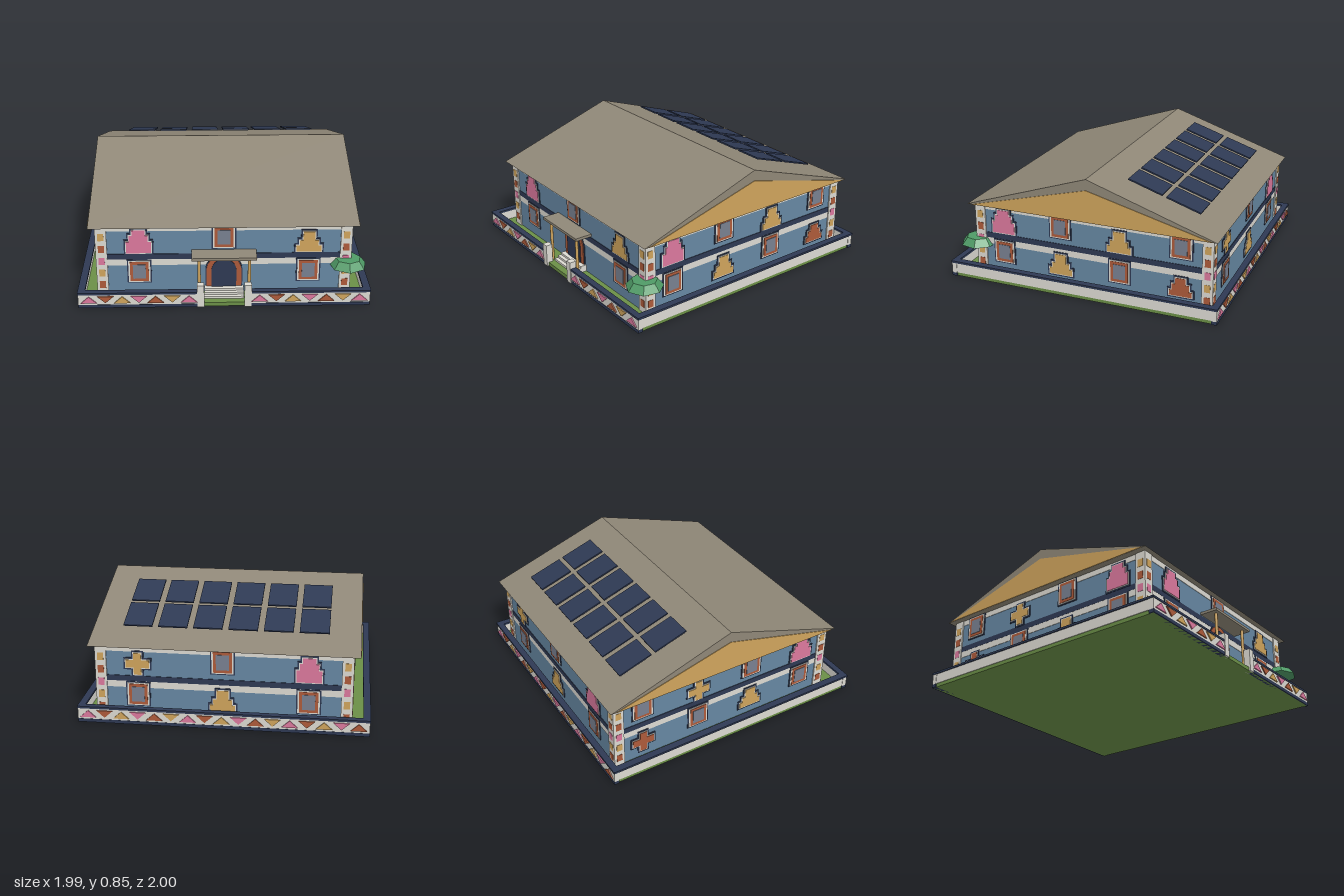
import * as THREE from 'three';

const mat = (name, color) => {
  const m = new THREE.MeshStandardMaterial({ color });
  m.name = name;
  return m;
};

export function createModel() {
  const roofTan = mat('roofTan', 0x8f8777), blue = mat('wallBlue', 0x6687a2), white = mat('trimWhite', 0xdcdad2);
  const pink = mat('pink', 0xdb789d), amber = mat('amber', 0xcfa45c), rust = mat('terracotta', 0xad5a3a);
  const navy = mat('navy', 0x2e3953), grass = mat('grassGreen', 0x6b8f47), leaf = mat('leafGreen', 0x4f9a66);
  const glass = mat('glassGrey', 0x788090);

  const model = new THREE.Group();
  model.name = 'house';

  const add = (parent, name, geo, material, x = 0, y = 0, z = 0) => {
    const m = new THREE.Mesh(geo, material);
    m.name = name;
    m.position.set(x, y, z);
    parent.add(m);
    return m;
  };
  // box given by its min and max corners
  const box = (parent, name, material, x0, x1, y0, y1, z0, z1) =>
    add(parent, name, new THREE.BoxGeometry(x1 - x0, y1 - y0, z1 - z0), material,
      (x0 + x1) / 2, (y0 + y1) / 2, (z0 + z1) / 2);
  const extrude = (points, depth) =>
    new THREE.ExtrudeGeometry(new THREE.Shape(points.map(p => new THREE.Vector2(...p))), { depth, bevelEnabled: false });

  // ---- ground and boundary wall
  box(model, 'lawn', grass, -0.985, 0.985, 0, 0.028, -0.985, 0.985);
  const fence = new THREE.Group();
  fence.name = 'boundaryWall';
  model.add(fence);
  for (const s of [-1, 1]) {
    const a = s * 0.955, b = s * 0.99;
    box(fence, 'sideWall', white, Math.min(a, b), Math.max(a, b), 0.026, 0.1, -0.985, 0.985);
    box(fence, 'sideWallCap', navy, s * 0.972 - 0.025, s * 0.972 + 0.025, 0.1, 0.115, -0.993, 0.993);
  }
  // decorated wall run with alternating triangles, built facing +z
  const paintedWall = (parent, x0, x1, count) => {
    box(parent, 'wallRun', white, x0, x1, 0.024, 0.1, 0.955, 0.991);
    box(parent, 'wallFoot', navy, x0, x1, 0, 0.024, 0.955, 0.993);
    box(parent, 'wallCap', navy, x0, x1, 0.1, 0.115, 0.95, 0.995);
    const cycle = [pink, rust, amber];
    const first = x0 < -0.9 ? -0.92 : 0.24, last = x1 > 0.9 ? 0.92 : -0.24;
    for (let i = 0; i < count; i++) {
      const x = first + (last - first) * i / (count - 1);
      const tri = i % 2 ? [[0, 0.04], [0.055, 0.09], [-0.055, 0.09]] : [[-0.055, 0.038], [0.055, 0.038], [0, 0.088]];
      add(parent, 'wallTriangle', extrude(tri, 0.009), cycle[i % 3], x, 0, 0.99);
    }
  };
  const frontFence = new THREE.Group(), backFence = new THREE.Group();
  frontFence.name = 'frontFence';
  backFence.name = 'backFence';
  backFence.rotation.y = Math.PI;
  fence.add(frontFence, backFence);
  paintedWall(frontFence, -0.993, -0.18, 7);
  paintedWall(frontFence, 0.18, 0.993, 7);
  paintedWall(backFence, -0.993, 0.993, 17);
  for (const s of [-1, 1]) box(fence, 'gatePost', white, s * 0.161 - 0.024, s * 0.161 + 0.024, 0, 0.165, 0.95, 0.998);

  // ---- house body with surrounding bands
  const house = new THREE.Group();
  house.name = 'houseBody';
  house.position.z = -0.04;
  model.add(house);
  const HX = 0.865, HZ = 0.875;
  const around = (name, material, y0, y1, o) => box(house, name, material, -HX - o, HX + o, y0, y1, -HZ - o, HZ + o);
  around('walls', blue, 0.02, 0.545, 0);
  around('middleWhiteBand', white, 0.242, 0.288, 0.003);
  around('middleNavyBand', navy, 0.288, 0.328, 0.004);
  around('topWhiteBand', white, 0.502, 0.545, 0.003);

  // ---- corner pillars with coloured tiles
  const tileColours = [rust, amber, pink, rust, amber];
  for (const sx of [-1, 1]) for (const sz of [-1, 1]) {
    const cx = sx * (HX - 0.03), cz = sz * (HZ - 0.03);
    box(house, 'cornerPillar', white, cx - 0.039, cx + 0.039, 0.02, 0.545, cz - 0.039, cz + 0.039);
    tileColours.forEach((c, i) => {
      const y = 0.097 + i * 0.091;
      box(house, 'pillarTile', c, cx - 0.021, cx + 0.021, y - 0.027, y + 0.027, cz - 0.041, cz + 0.041);
      box(house, 'pillarTile', c, cx - 0.041, cx + 0.041, y - 0.027, y + 0.027, cz - 0.021, cz + 0.021);
    });
  }

  // ---- facade ornaments, built facing +z in each facade's own frame
  const layer = (parent, name, points, material, x, y, i) =>
    add(parent, name, extrude(points, 0.005), material, x, y, 0.002 + 0.003 * i);
  const rect = (w, h) => [[-w, -h], [w, -h], [w, h], [-w, h]];
  const windowAt = (parent, x, upper) => {
    const g = new THREE.Group();
    g.name = 'window';
    parent.add(g);
    const y = upper ? 0.455 : 0.197;
    layer(g, 'windowBorder', rect(0.084, 0.09), navy, x, y, 0);
    layer(g, 'windowSurround', rect(0.075, 0.082), white, x, y, 1);
    layer(g, 'windowFrame', rect(0.064, 0.074), rust, x, y, 2);
    layer(g, 'windowGlass', rect(0.044, 0.054), glass, x, y, 3);
  };
  // stepped silhouette from [halfWidth, top] tiers, grown outward by o
  const stepped = (tiers, o) => {
    const right = [[tiers[0][0] + o, -o]];
    tiers.forEach(([w, top], i) => {
      const next = tiers[i + 1];
      const y = next && next[0] > w ? top - o : top + o;
      right.push([w + o, y]);
      if (next) right.push([next[0] + o, y]);
    });
    return [...right, ...right.map(([x, y]) => [-x, y]).reverse()];
  };
  const TALL = [[0.085, 0.085], [0.064, 0.132], [0.044, 0.172]];
  const STEPS = [[0.085, 0.045], [0.064, 0.085], [0.04, 0.15]];
  const PYRAMID = [[0.08, 0.038], [0.06, 0.085], [0.036, 0.13]];
  const CROSS = [[0.026, 0.05], [0.08, 0.105], [0.026, 0.155]];
  const motif = (parent, x, y, tiers, colour) => {
    const g = new THREE.Group();
    g.name = 'steppedMotif';
    parent.add(g);
    layer(g, 'motifBorder', stepped(tiers, 0.016), navy, x, y, 0);
    layer(g, 'motifOutline', stepped(tiers, 0.006), white, x, y, 1);
    layer(g, 'motifFill', stepped(tiers, 0), colour, x, y, 2);
  };
  const facade = (name, angle, dist) => {
    const g = new THREE.Group();
    g.name = name;
    g.rotation.y = angle;
    g.position.set(Math.sin(angle) * dist, 0, Math.cos(angle) * dist);
    house.add(g);
    return g;
  };
  const UP = 0.34, LOW = 0.1;

  const front = facade('frontFacade', 0, HZ);
  windowAt(front, 0, true);
  motif(front, -0.58, UP, TALL, pink);
  motif(front, 0.58, UP, STEPS, amber);
  const back = facade('backFacade', Math.PI, HZ);
  windowAt(back, 0, true);
  motif(back, -0.58, UP, CROSS, amber);
  motif(back, 0.58, UP, TALL, pink);
  motif(back, 0, LOW, STEPS, amber);
  for (const f of [front, back]) for (const x of [-0.58, 0.58]) windowAt(f, x, false);

  // the two sides mirror each other; the -x side has crosses toward the back
  for (const s of [1, -1]) {
    const side = facade(s > 0 ? 'leftFacade' : 'rightFacade', s * Math.PI / 2, HX);
    motif(side, -0.66 * s, UP, TALL, pink);
    windowAt(side, -0.66 * s, false);
    windowAt(side, -0.22 * s, true);
    motif(side, -0.22 * s, LOW, STEPS, amber);
    motif(side, 0.22 * s, UP, s > 0 ? STEPS : CROSS, amber);
    windowAt(side, 0.22 * s, false);
    windowAt(side, 0.66 * s, true);
    motif(side, 0.66 * s, s > 0 ? LOW : 0.085, s > 0 ? PYRAMID : CROSS, rust);
  }

  // ---- roof prism and gable panels
  const roofGeo = extrude([[-0.92, 0.542], [0.92, 0.542], [0, 0.85]], 1.832);
  roofGeo.rotateY(Math.PI / 2);
  add(house, 'roof', roofGeo, roofTan, -0.916);
  for (const s of [-1, 1]) {
    const gable = extrude([[-0.885, 0.543], [0.885, 0.543], [0, 0.772]], 0.006);
    gable.rotateY(Math.PI / 2);
    add(house, 'gablePanel', gable, amber, s * 0.917 - 0.003);
  }

  // ---- solar panels floating above the back slope
  const solar = new THREE.Group();
  solar.name = 'solarPanels';
  model.add(solar);
  const tilt = Math.atan2(0.308, 0.92);
  for (const z of [-0.379, -0.652]) for (let i = 0; i < 6; i++) {
    const y = 0.85 + (z + 0.04) * Math.tan(tilt) + 0.033;
    const p = add(solar, 'solarPanel', new THREE.BoxGeometry(0.2, 0.01, 0.258), navy, -0.602 + i * 0.241, y, z);
    p.rotation.x = -tilt;
  }

  // ---- entrance: arched door, steps, canopy and posts
  const entrance = new THREE.Group();
  entrance.name = 'entrance';
  model.add(entrance);
  const arch = (r, top) => {
    const s = new THREE.Shape();
    s.moveTo(-r, 0.04);
    s.lineTo(r, 0.04);
    s.lineTo(r, top - r);
    s.absarc(0, top - r, r, 0, Math.PI, false);
    return new THREE.ExtrudeGeometry(s, { depth: 0.008, bevelEnabled: false, curveSegments: 16 });
  };
  add(entrance, 'doorOutline', arch(0.127, 0.328), navy, 0, 0, 0.834);
  add(entrance, 'doorArch', arch(0.12, 0.32), rust, 0, 0, 0.839);
  add(entrance, 'door', arch(0.085, 0.288), navy, 0, 0, 0.844);
  for (let i = 0; i < 3; i++)
    box(entrance, 'entranceStep', white, -0.136, 0.136, 0.02, 0.044 + i * 0.016, 0.83, 0.935 - i * 0.027);
  box(entrance, 'canopy', roofTan, -0.22, 0.22, 0.336, 0.356, 0.83, 0.963);
  for (const s of [-1, 1])
    add(entrance, 'canopyPost', new THREE.CylinderGeometry(0.011, 0.011, 0.312, 10), amber, s * 0.17, 0.18, 0.928);

  // ---- low-poly tree crown around the front corner
  const crown = new THREE.CylinderGeometry(0.088, 0.13, 0.052, 7).toNonIndexed();
  crown.computeVertexNormals();
  add(model, 'treeCrown', crown, leaf, 0.852, 0.257, 0.838);

  return model;
}
